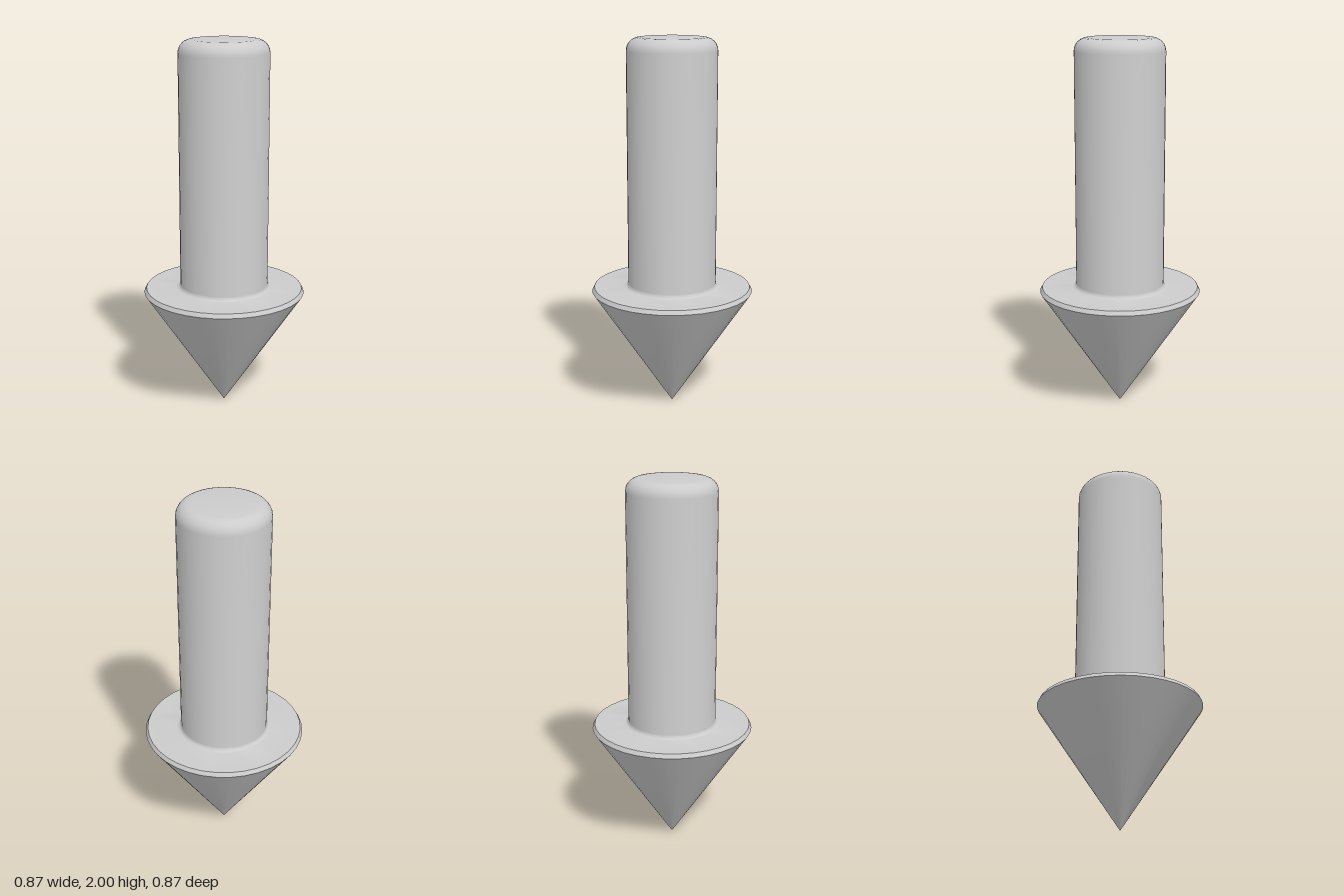
import * as THREE from 'three';
import { toCreasedNormals } from 'three/addons/utils/BufferGeometryUtils.js';

const SIDES = 36;
const SHAFT_R = 0.237, RIM_R = 0.433, SHOULDER_Y = 0.672;

// Quarter-circle profile points around (cx, cy)
function arc(cx, cy, r, from, to, steps) {
  return Array.from({ length: steps + 1 }, (_, i) => {
    const a = from + (to - from) * i / steps;
    return new THREE.Vector2(cx + r * Math.cos(a), cy + r * Math.sin(a));
  });
}

function turned(name, points, material) {
  const geometry = toCreasedNormals(new THREE.LatheGeometry(points, SIDES), 0.5);
  const mesh = new THREE.Mesh(geometry, material);
  mesh.name = name;
  return mesh;
}

export function createModel() {
  const group = new THREE.Group();
  group.name = 'spikedPin';
  const material = new THREE.MeshStandardMaterial({ color: 0xcccccc });
  const v = (x, y) => new THREE.Vector2(x, y);

  // Conical point with a narrow bevelled rim
  group.add(turned('conePoint', [v(0, 0), v(RIM_R, 0.65), v(0.421, SHOULDER_Y)], material));

  // Flat shoulder, root fillet, straight shaft and rounded end
  const fillet = 0.022, round = 0.068;
  group.add(turned('shaft', [
    v(0.421, SHOULDER_Y),
    ...arc(SHAFT_R + fillet, SHOULDER_Y + fillet, fillet, -Math.PI / 2, -Math.PI, 5),
    ...arc(SHAFT_R - round, 2 - round, round, 0, Math.PI / 2, 6),
    v(0, 2),
  ], material));

  return group;
}
